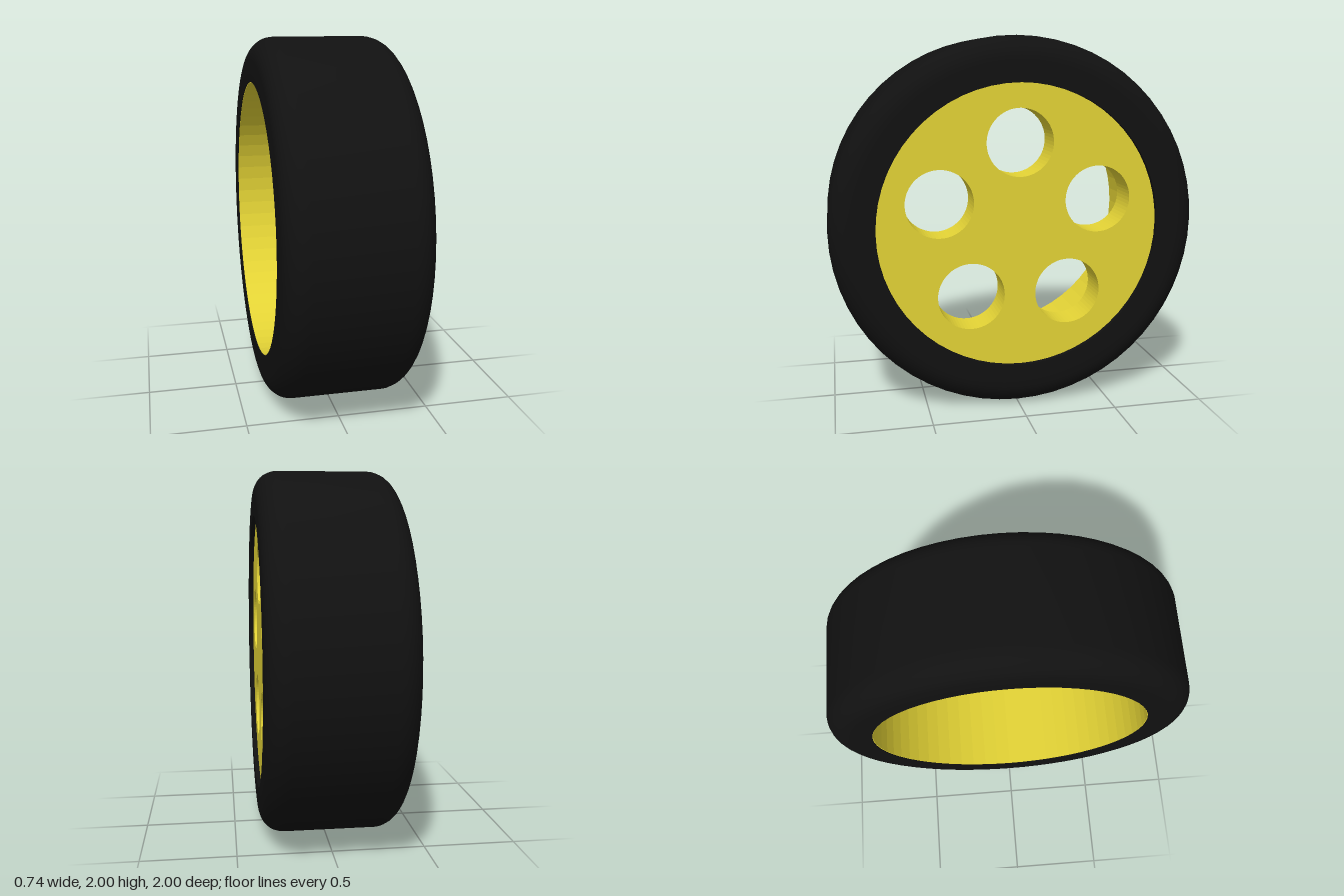
import * as THREE from 'three';
import { toCreasedNormals } from 'three/addons/utils/BufferGeometryUtils.js';

const SEGMENTS = 60;
const RIM_RADIUS = 0.76;
const HALF_WIDTH = 0.37;
const SHOULDER = 0.125;
const DISC_FACE = 0.345;
const DISC_BACK = 0.16;

// Ring around the x axis from a closed [radius, x] profile, listed anticlockwise
function ring(name, profile, material, crease) {
  const points = [...profile, profile[0]].map(([r, x]) => new THREE.Vector2(r, x));
  const geometry = new THREE.LatheGeometry(points, SEGMENTS).rotateZ(-Math.PI / 2);
  const mesh = new THREE.Mesh(toCreasedNormals(geometry, crease), material);
  mesh.name = name;
  return mesh;
}

// Points of one rounded tyre shoulder
function shoulder(x, startAngle, steps = 8) {
  return Array.from({ length: steps + 1 }, (_, i) => {
    const a = startAngle + (i / steps) * Math.PI / 2;
    return [1 - SHOULDER + SHOULDER * Math.cos(a), x + SHOULDER * Math.sin(a)];
  });
}

export function createModel() {
  const rubber = new THREE.MeshStandardMaterial({ color: 0x111111 });
  const yellow = new THREE.MeshStandardMaterial({ color: 0xe3d335 });
  const wheel = new THREE.Group();
  wheel.name = 'wheel';
  wheel.position.y = 1;

  // Tyre with rounded shoulders
  const tyreProfile = [
    [RIM_RADIUS, -HALF_WIDTH],
    ...shoulder(-HALF_WIDTH + SHOULDER, -Math.PI / 2),
    ...shoulder(HALF_WIDTH - SHOULDER, 0),
    [RIM_RADIUS, HALF_WIDTH],
  ];
  wheel.add(ring('tyre', tyreProfile, rubber, 0.5));

  // Thin rim barrel lining the open side
  const barrelProfile = [
    [RIM_RADIUS - 0.004, -0.365],
    [RIM_RADIUS + 0.01, -0.365],
    [RIM_RADIUS + 0.01, DISC_BACK + 0.02],
    [RIM_RADIUS - 0.004, DISC_BACK + 0.02],
  ];
  wheel.add(ring('rimBarrel', barrelProfile, yellow, 0.02));

  // Wheel disc pierced by five round holes
  const shape = new THREE.Shape().absarc(0, 0, RIM_RADIUS, 0, Math.PI * 2);
  for (let i = 0; i < 5; i++) {
    const a = Math.PI / 2 + (i * Math.PI * 2) / 5;
    shape.holes.push(new THREE.Path().absarc(0.45 * Math.cos(a), 0.45 * Math.sin(a), 0.18, 0, Math.PI * 2, true));
  }
  const discGeometry = new THREE.ExtrudeGeometry(shape, {
    depth: DISC_FACE - DISC_BACK, bevelEnabled: false, curveSegments: 30,
  });
  discGeometry.translate(0, 0, DISC_BACK).rotateY(Math.PI / 2);
  const disc = new THREE.Mesh(discGeometry, yellow);
  disc.name = 'wheelDisc';
  wheel.add(disc);

  const model = new THREE.Group();
  model.add(wheel);
  return model;
}
